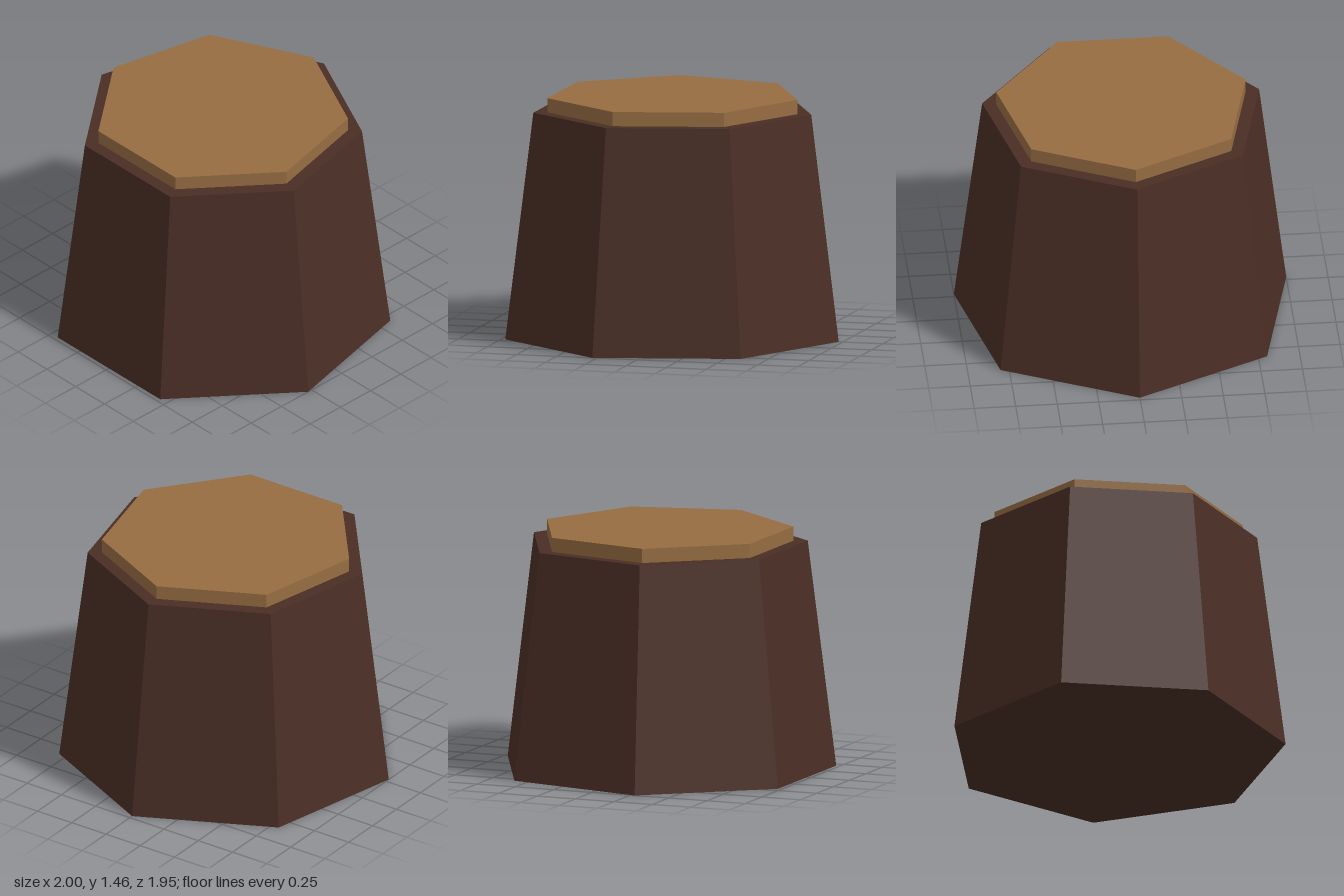
import * as THREE from 'three';

const SIDES = 7;
const CENTRE_Z = 0.05; // puts the heptagon's bounds evenly around z = 0

export function createModel() {
  const bark = new THREE.MeshStandardMaterial({ name: 'darkBark', color: 0x4a2e25, flatShading: true });
  const wood = new THREE.MeshStandardMaterial({ name: 'cutWood', color: 0x966d42, flatShading: true });

  const model = new THREE.Group();
  model.name = 'treeStump';

  // Seven-sided prism between two heights, one corner pointing backwards
  function addPrism(name, topRadius, bottomRadius, y0, y1, material) {
    const geometry = new THREE.CylinderGeometry(topRadius, bottomRadius, y1 - y0, SIDES, 1, false, Math.PI);
    const mesh = new THREE.Mesh(geometry, material);
    mesh.name = name;
    mesh.position.set(0, (y0 + y1) / 2, CENTRE_Z);
    model.add(mesh);
  }

  // Tapered trunk and the pale slab on its top
  addPrism('trunk', 0.855, 1.026, 0, 1.37, bark);
  addPrism('cutTop', 0.77, 0.77, 1.36, 1.456, wood);

  return model;
}
